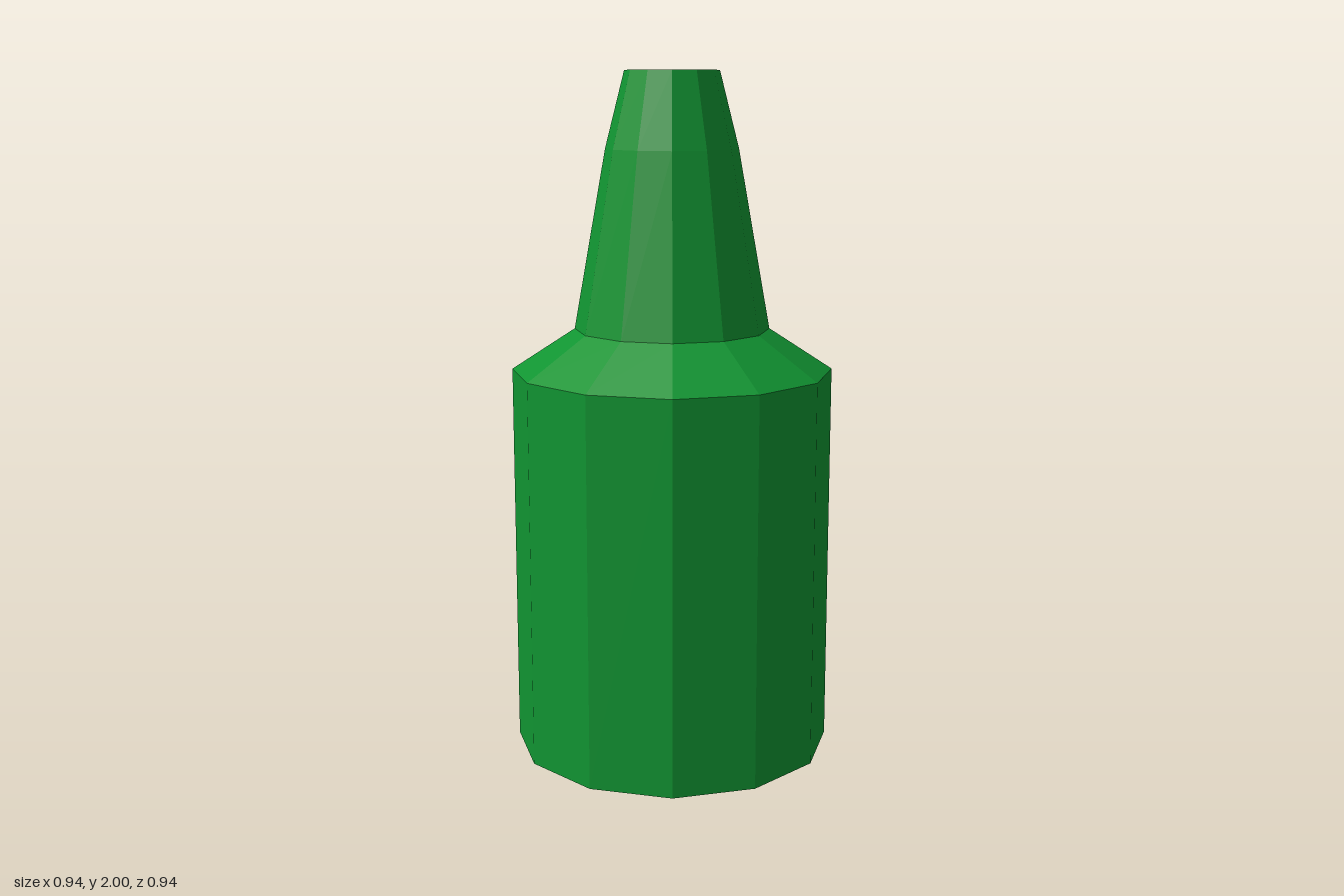
import * as THREE from 'three';

const SIDES = 12;

export function createModel() {
  const group = new THREE.Group();
  group.name = 'bottle';
  const green = new THREE.MeshStandardMaterial({ color: 0x119432, flatShading: true });
  green.name = 'green';

  const add = (name, geometry) => {
    const mesh = new THREE.Mesh(geometry, green);
    mesh.name = name;
    group.add(mesh);
    return mesh;
  };

  // Open twelve-sided rings stacked from the base to the tip
  const ring = (name, r0, y0, r1, y1) => {
    const geometry = new THREE.CylinderGeometry(r1, r0, y1 - y0, SIDES, 1, true);
    add(name, geometry).position.y = (y0 + y1) / 2;
  };
  ring('body', 0.47, 0, 0.47, 1.14);
  ring('shoulder', 0.47, 1.14, 0.285, 1.26);
  ring('nozzle', 0.285, 1.26, 0.192, 1.78);
  ring('nozzleTip', 0.192, 1.78, 0.136, 2);

  // Flat end faces, with corners in line with the rings
  const cap = (name, radius, y, turn) => {
    const mesh = add(name, new THREE.CircleGeometry(radius, SIDES));
    mesh.rotation.x = turn;
    mesh.position.y = y;
  };
  cap('base', 0.47, 0, Math.PI / 2);
  cap('tipFace', 0.136, 2, -Math.PI / 2);

  return group;
}
